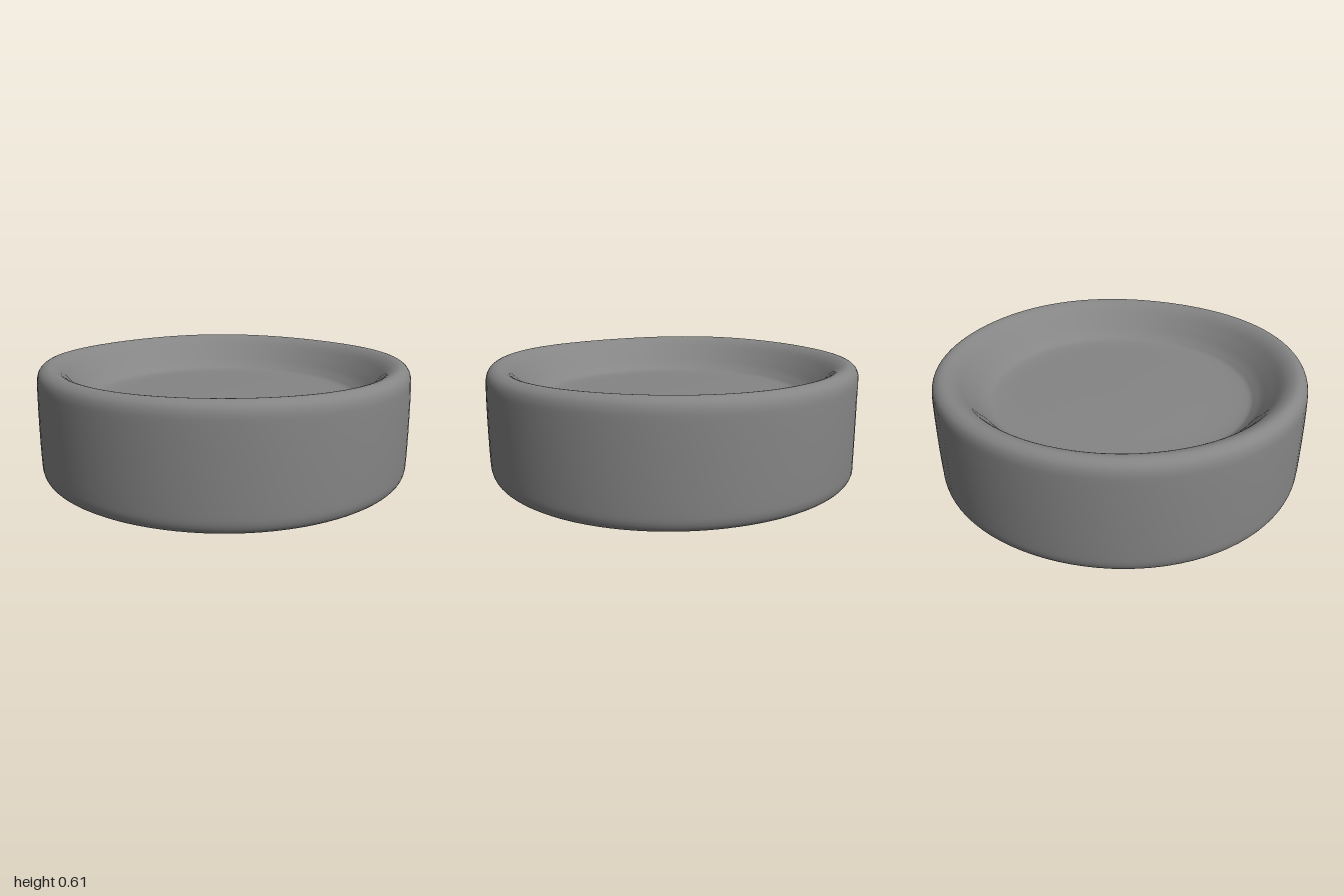
import * as THREE from 'three';

export function createModel() {
  const group = new THREE.Group();
  group.name = 'dishedDisc';

  // Half section, bottom centre to top centre: recessed floor, sloped wall, rounded rim, straight side
  const section = new THREE.SplineCurve([
    [0, 0.162], [0.35, 0.162], [0.64, 0.16], [0.73, 0.142], [0.81, 0.085], [0.875, 0.028],
    [0.93, 0.004], [0.97, 0.014], [0.993, 0.05], [0.999, 0.12], [1.001, 0.3],
    [0.999, 0.48], [0.993, 0.555], [0.97, 0.592], [0.93, 0.604], [0.875, 0.578],
    [0.81, 0.51], [0.74, 0.44], [0.66, 0.412], [0.35, 0.418], [0, 0.424],
  ].map(([r, y]) => new THREE.Vector2(r, y)));
  const points = section.getPoints(100);
  points[0].x = points[points.length - 1].x = 0;
  const geometry = new THREE.LatheGeometry(points, 96);

  // Slightly uneven outline, back-raised upper rim and small flats on front and back
  const p = geometry.attributes.position;
  for (let i = 0; i < p.count; i++) {
    const x = p.getX(i), y = p.getY(i), z = p.getZ(i);
    const angle = Math.atan2(x, z);
    const upper = THREE.MathUtils.smoothstep(y, 0.3, 0.6);
    const wave = 0.003 * Math.cos(4 * angle) * Math.hypot(x, z);
    const pinch = 1 - 0.008 * Math.sin(2 * angle) ** 2;
    p.setXYZ(i, x * pinch, y + upper * (wave - 0.005 * z), THREE.MathUtils.clamp(z * pinch, -0.994, 0.99));
  }

  const disc = new THREE.Mesh(geometry, new THREE.MeshStandardMaterial({ color: 0x858585 }));
  disc.name = 'disc';
  group.add(disc);
  return group;
}
